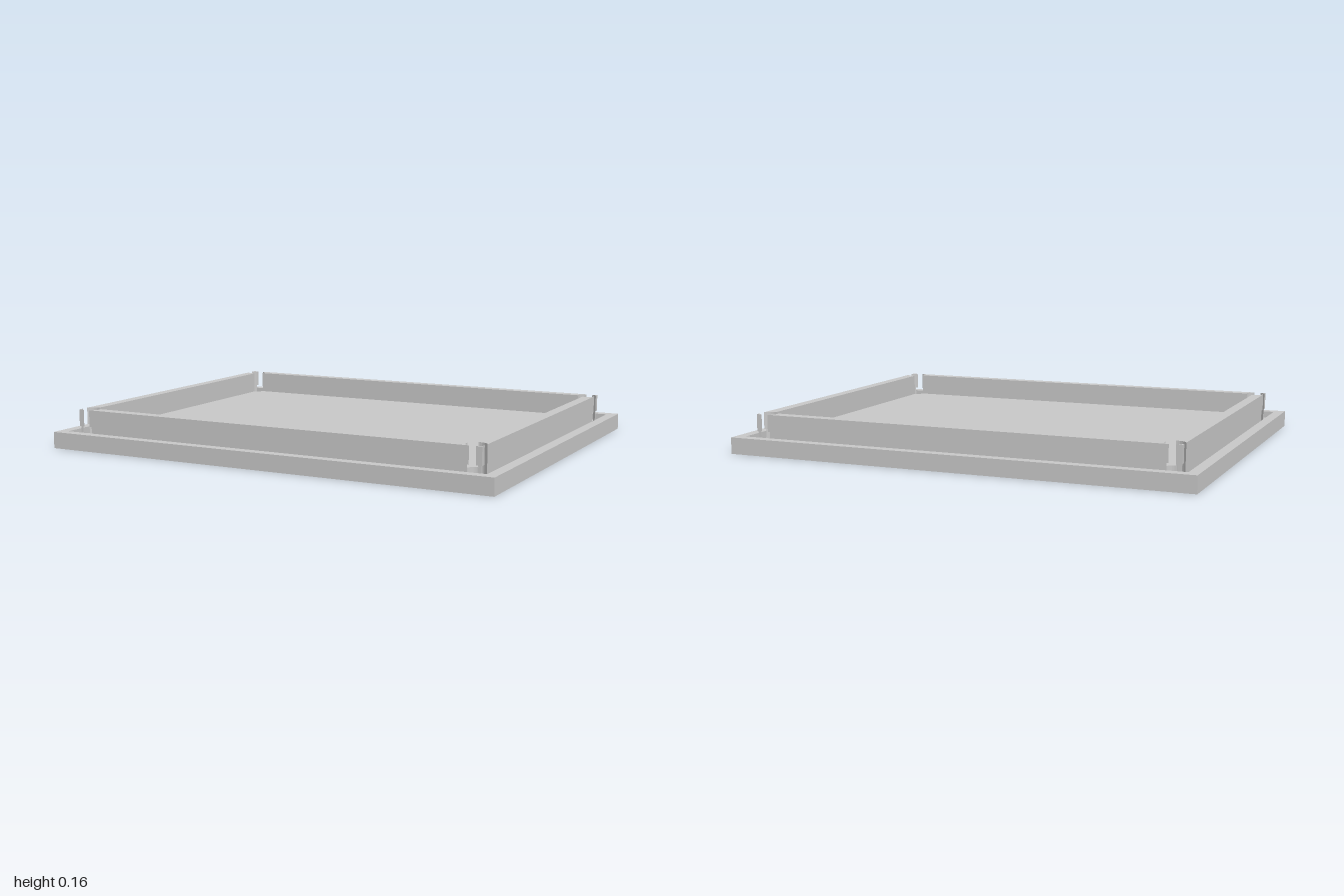
import * as THREE from 'three';
import { toCreasedNormals } from 'three/addons/utils/BufferGeometryUtils.js';

const HOLE_X = 0.883, HOLE_Z = 0.675, HOLE_R = 0.0405;
const INNER_X = 0.008, INNER_Z = 0.009; // inner wall faces, measured from the hole centres
const GROOVE = 0.04, FLOOR = 0.068, RIM_TOP = 0.07, STEP = 0.09, WALL_TOP = 0.162;

export function createModel() {
  const model = new THREE.Group();
  const grey = new THREE.MeshStandardMaterial({ color: 0xc8c8c8 });
  grey.name = 'grey plastic';

  // Extrudes a plan shape upwards from y0 to y1
  function slab(name, shape, y0, y1) {
    const geo = new THREE.ExtrudeGeometry(shape, { depth: y1 - y0, bevelEnabled: false, curveSegments: 24 });
    geo.rotateX(-Math.PI / 2);
    geo.translate(0, y0, 0);
    const mesh = new THREE.Mesh(toCreasedNormals(geo, 0.6), grey);
    mesh.name = name;
    model.add(mesh);
    return mesh;
  }

  function rectangle(Type, hx, hz) {
    const s = new Type();
    s.moveTo(-hx, -hz);
    s.lineTo(hx, -hz);
    s.lineTo(hx, hz);
    s.lineTo(-hx, hz);
    s.closePath();
    return s;
  }

  // Base plate with a screw hole in each corner
  const plate = rectangle(THREE.Shape, 1, 0.79);
  for (const sx of [-1, 1]) for (const sz of [-1, 1]) {
    const hole = new THREE.Path();
    hole.absarc(sx * HOLE_X, sz * HOLE_Z, HOLE_R, 0, Math.PI * 2, true);
    plate.holes.push(hole);
  }
  slab('basePlate', plate, 0, GROOVE);

  // Low outer rim, leaving a groove around the inner wall
  const rim = rectangle(THREE.Shape, 1, 0.79);
  rim.holes.push(rectangle(THREE.Path, 0.955, 0.747));
  slab('outerRim', rim, GROOVE, RIM_TOP);

  // Raised floor inside the wall, its corners scooped out by the screw holes
  const a = Math.asin(INNER_Z / HOLE_R), b = Math.acos(INNER_X / HOLE_R);
  const floor = new THREE.Shape();
  floor.absarc(HOLE_X, HOLE_Z, HOLE_R, -b, Math.PI - a, true);
  floor.absarc(-HOLE_X, HOLE_Z, HOLE_R, a, b - Math.PI, true);
  floor.absarc(-HOLE_X, -HOLE_Z, HOLE_R, Math.PI - b, -a, true);
  floor.absarc(HOLE_X, -HOLE_Z, HOLE_R, Math.PI + a, b, true);
  floor.closePath();
  slab('raisedFloor', floor, GROOVE, FLOOR);

  // Straight wall whose ends are scooped out by the screw holes
  function wallShape(along, across, outer, inner) {
    const o = Math.asin(outer / HOLE_R), i = Math.asin(inner / HOLE_R);
    const s = new THREE.Shape();
    s.absarc(along, across, HOLE_R, Math.PI - o, Math.PI + i, false);
    s.absarc(-along, across, HOLE_R, -i, o, false);
    s.closePath();
    return s;
  }

  // Thin corner post left standing outside a screw hole
  function postShape(outer) {
    const h = Math.sqrt(HOLE_R ** 2 - outer ** 2);
    const s = new THREE.Shape();
    s.moveTo(outer, h);
    s.lineTo(outer, outer);
    s.lineTo(h, outer);
    s.absarc(0, 0, HOLE_R, Math.atan2(outer, h), Math.atan2(h, outer), true);
    s.closePath();
    return s;
  }

  // Inner wall in two tiers, the lower one slightly undercut
  const tiers = [
    { name: 'Lower', outer: 0.034, y0: GROOVE, y1: STEP },
    { name: 'Upper', outer: 0.038, y0: STEP, y1: WALL_TOP },
  ];
  const corners = [[1, -1], [-1, -1], [-1, 1], [1, 1]];
  for (const { name, outer, y0, y1 } of tiers) {
    for (let k = 0; k < 4; k++) {
      const turn = k * Math.PI / 2;
      const shape = k % 2
        ? wallShape(HOLE_Z, HOLE_X, outer, INNER_X)
        : wallShape(HOLE_X, HOLE_Z, outer, INNER_Z);
      slab('innerWall' + name, shape, y0, y1).rotation.y = turn;

      const post = slab('cornerPost' + name, postShape(outer), y0, y1);
      post.rotation.y = turn;
      post.position.set(corners[k][0] * HOLE_X, 0, corners[k][1] * HOLE_Z);
    }
  }
  return model;
}
